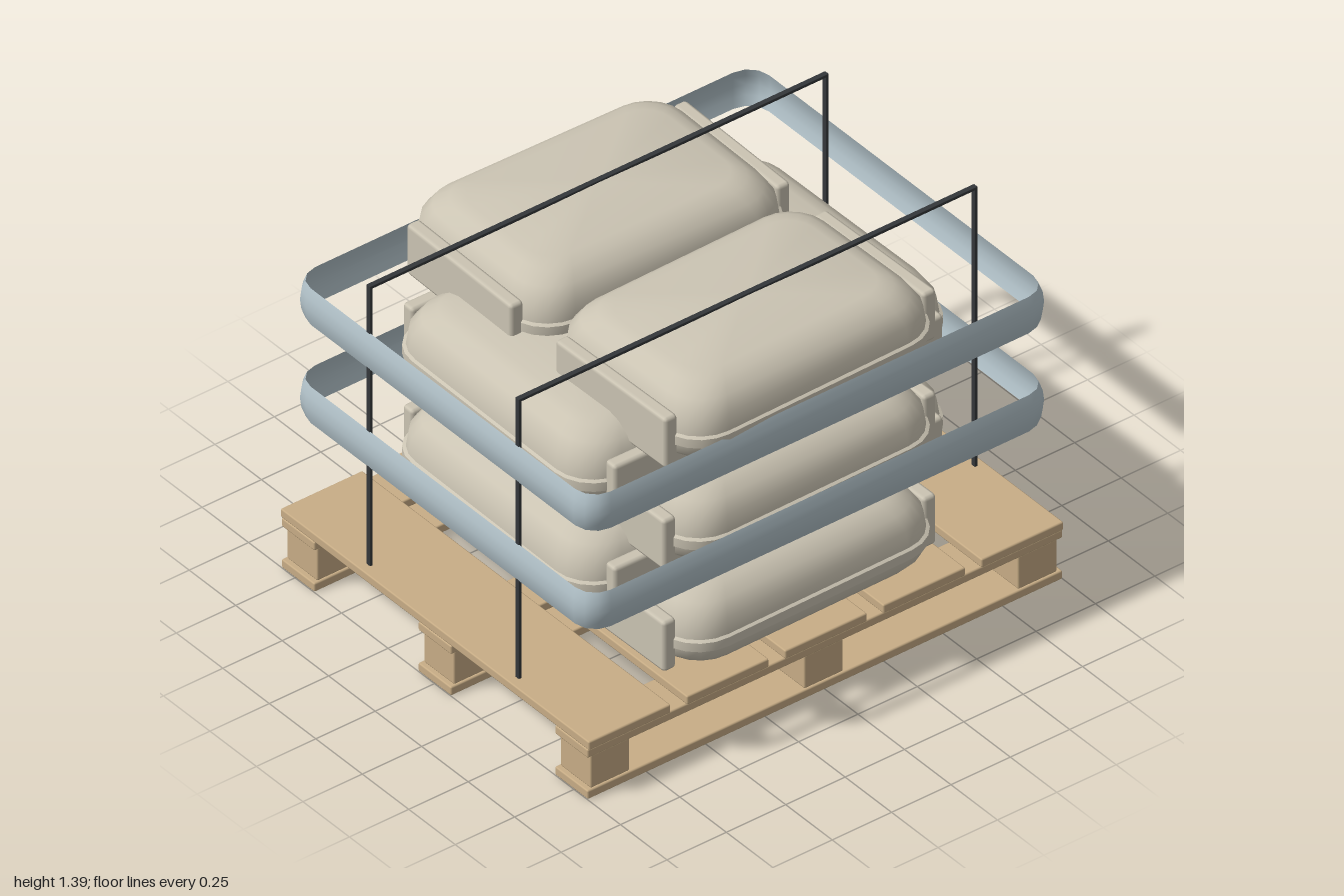
import * as THREE from 'three';
import { toCreasedNormals } from 'three/addons/utils/BufferGeometryUtils.js';
import { RoundedBoxGeometry } from 'three/addons/geometries/RoundedBoxGeometry.js';

const material = (color, side = THREE.FrontSide) => new THREE.MeshStandardMaterial({ color, side });
const wood = material(0xc8ad86);
const cloth = material(0xcbc4b3);
const film = material(0xb2c2c9, THREE.DoubleSide);
const strapDark = material(0x34373a);

// Outline of a rounded rectangle in the xz plane, counted from +x towards +z
function roundedOutline(hx, hz, r, steps) {
  const points = [];
  [[1, 1], [-1, 1], [-1, -1], [1, -1]].forEach(([sx, sz], q) => {
    for (let i = 0; i <= steps; i++) {
      const a = (q + i / steps) * Math.PI / 2;
      points.push([sx * (hx - r) + r * Math.cos(a), sz * (hz - r) + r * Math.sin(a)]);
    }
  });
  return points;
}

// Skin over rounded-rectangle rings; each level is [y, inset]
function loft(levels, hx, hz, radius, steps, caps) {
  const positions = [], index = [];
  const n = 4 * (steps + 1);
  for (const [y, inset] of levels) {
    const r = radius - inset * 0.4;
    for (const [x, z] of roundedOutline(hx - inset, hz - inset, r, steps)) positions.push(x, y, z);
  }
  for (let l = 0; l < levels.length - 1; l++) {
    for (let i = 0; i < n; i++) {
      const a = l * n + i, b = l * n + (i + 1) % n;
      index.push(a, a + n, b, b, a + n, b + n);
    }
  }
  if (caps) {
    const bottom = levels.length * n, last = (levels.length - 1) * n;
    positions.push(0, caps[0], 0, 0, caps[1], 0);
    for (let i = 0; i < n; i++) {
      const j = (i + 1) % n;
      index.push(bottom, i, j, bottom + 1, last + j, last + i);
    }
  }
  const geometry = new THREE.BufferGeometry();
  geometry.setAttribute('position', new THREE.Float32BufferAttribute(positions, 3));
  geometry.setIndex(index);
  return toCreasedNormals(geometry, 0.65);
}

function addBox(parent, name, mat, size, position, radius = 0.006) {
  const mesh = new THREE.Mesh(new RoundedBoxGeometry(...size, 1, radius), mat);
  mesh.name = name;
  mesh.position.set(...position);
  parent.add(mesh);
  return mesh;
}

function createPallet() {
  const pallet = new THREE.Group();
  pallet.name = 'pallet';
  for (const z of [-0.735, 0, 0.735]) {
    addBox(pallet, 'bottomRunner', wood, [2, 0.035, 0.178], [0, 0.0175, z]);
    addBox(pallet, 'stringerBoard', wood, [2, 0.035, 0.178], [0, 0.187, z]);
    for (const x of [-0.9, 0, 0.9]) {
      addBox(pallet, 'spacerBlock', wood, [0.164, 0.136, 0.164], [x, 0.102, z]);
    }
  }
  for (let i = -2; i <= 2; i++) {
    addBox(pallet, 'deckBoard', wood, [0.345, 0.035, 1.66], [i * 0.4135, 0.222, 0]);
  }
  return pallet;
}

// Pillow body with a raised seam, plus a folded flap on each end
const sackLevels = [
  [0, 0.09], [0.02, 0.045], [0.05, 0.02], [0.088, 0.012], [0.095, 0], [0.13, 0],
  [0.136, 0.01], [0.2, 0.018], [0.25, 0.05], [0.283, 0.095], [0.297, 0.14],
];

function createSack(geometry) {
  const sack = new THREE.Group();
  sack.name = 'sack';
  const body = new THREE.Mesh(geometry, cloth);
  body.name = 'sackBody';
  sack.add(body);
  for (const side of [-1, 1]) {
    addBox(sack, 'sackEndFlap', cloth, [0.055, 0.205, 0.58], [side * 0.553, 0.112, 0], 0.014);
  }
  return sack;
}

function createSackStack() {
  const stack = new THREE.Group();
  stack.name = 'sackStack';
  const geometry = loft(sackLevels, 0.55, 0.395, 0.16, 5, [0, 0.303]);
  for (let layer = 0; layer < 5; layer++) {
    const crosswise = layer % 2 === 1;
    for (const side of [-1, 1]) {
      const sack = createSack(geometry);
      const offset = side * 0.396;
      sack.position.set(crosswise ? offset : 0, 0.242 + layer * 0.21, crosswise ? 0 : offset);
      // Alternate layers turn a quarter, each sack lying slightly askew
      sack.rotation.y = (crosswise ? Math.PI / 2 : 0) + side * (layer === 4 ? 0.02 : 0.012);
      stack.add(sack);
    }
  }
  return stack;
}

export function createModel() {
  const model = new THREE.Group();
  model.name = 'loadedPallet';
  model.add(createPallet(), createSackStack());

  // Film bands bulging a little at mid height
  const bandLevels = [[-0.075, 0.015], [-0.04, 0.004], [0, 0], [0.04, 0.004], [0.075, 0.015]];
  const bandGeometry = loft(bandLevels, 0.98, 0.81, 0.09, 3, null);
  for (const y of [0.72, 1.125]) {
    const band = new THREE.Mesh(bandGeometry, film);
    band.name = 'wrapBand';
    band.position.y = y;
    model.add(band);
  }

  // Tie straps: two uprights and a crossing top run
  for (const z of [-0.4, 0.4]) {
    const strap = new THREE.Group();
    strap.name = 'tieStrap';
    for (const x of [-0.96, 0.96]) {
      addBox(strap, 'strapUpright', strapDark, [0.012, 1.15, 0.02], [x, 0.815, z], 0.002);
    }
    addBox(strap, 'strapTop', strapDark, [1.932, 0.012, 0.02], [0, 1.386, z], 0.002);
    model.add(strap);
  }
  return model;
}
